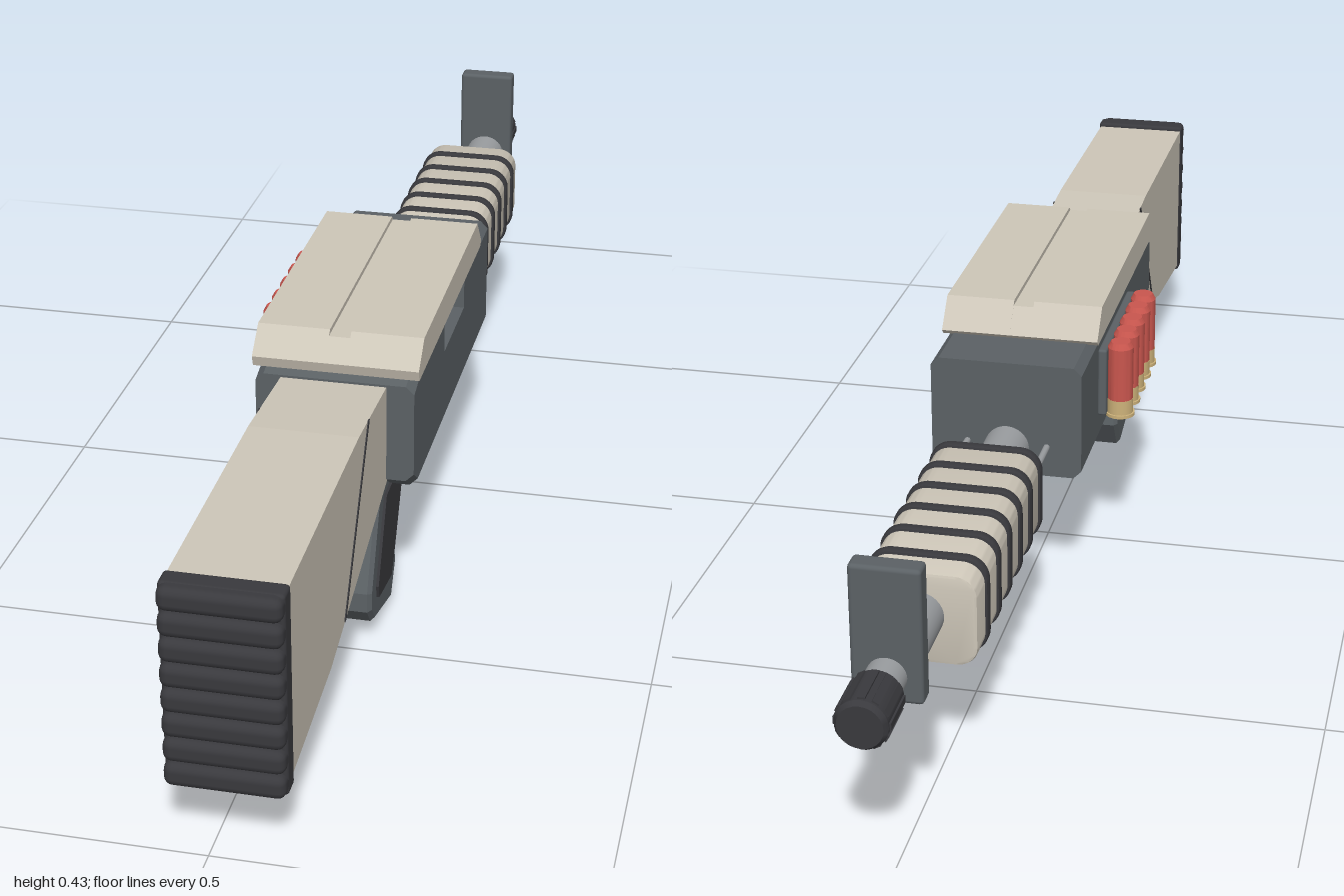
import * as THREE from 'three';
import { toCreasedNormals } from 'three/addons/utils/BufferGeometryUtils.js';
import { RoundedBoxGeometry } from 'three/addons/geometries/RoundedBoxGeometry.js';

const mat = (name, color) => {
  const m = new THREE.MeshStandardMaterial({ color });
  m.name = name;
  return m;
};

export function createModel() {
  const root = new THREE.Group();
  root.name = 'pumpGun';
  const cream = mat('cream', 0xcdc6b8);
  const slate = mat('slate', 0x5b6165);
  const black = mat('black', 0x39393d);
  const steel = mat('steel', 0x999c9f);
  const red = mat('red', 0xc9564e);
  const brass = mat('brass', 0xcdb27a);
  const CX = 0.022; // centre line of the gun

  const add = (name, geo, material, x = 0, y = 0, z = 0, parent = root) => {
    const mesh = new THREE.Mesh(geo, material);
    mesh.name = name;
    mesh.position.set(x, y, z);
    parent.add(mesh);
    return mesh;
  };
  // Side profile of [z, y] points, extruded across x from x0 to x1
  const prism = (pts, x0, x1, bevel = 0) => {
    const shape = new THREE.Shape(pts.map(([z, y]) => new THREE.Vector2(-z, y)));
    const geo = new THREE.ExtrudeGeometry(shape, {
      depth: x1 - x0 - 2 * bevel, bevelEnabled: bevel > 0, bevelSize: bevel,
      bevelThickness: bevel, bevelOffset: -bevel, bevelSegments: 1,
    });
    return geo.rotateY(Math.PI / 2).translate(x0 + bevel, 0, 0);
  };
  // Cross-section of [x, y] points, extruded along z from z0 to z1
  const bar = (pts, z0, z1) => new THREE.ExtrudeGeometry(
    new THREE.Shape(pts.map(([x, y]) => new THREE.Vector2(x, y))),
    { depth: z1 - z0, bevelEnabled: false }).translate(0, 0, z0);
  // Round rod along z
  const rod = (r, z0, z1, sides = 32) =>
    new THREE.CylinderGeometry(r, r, z1 - z0, sides).rotateX(Math.PI / 2).translate(0, 0, (z0 + z1) / 2);
  // Rounded rectangle block, centred on x and y, running along z
  const roundBar = (w, h, r, z0, z1, bevel) => {
    const a = w / 2 - r, b = h / 2 - r, s = new THREE.Shape();
    s.absarc(a, b, r, 0, Math.PI / 2);
    s.absarc(-a, b, r, Math.PI / 2, Math.PI);
    s.absarc(-a, -b, r, Math.PI, Math.PI * 1.5);
    s.absarc(a, -b, r, Math.PI * 1.5, Math.PI * 2);
    const geo = new THREE.ExtrudeGeometry(s, {
      depth: z1 - z0 - 2 * bevel, bevelThickness: bevel, bevelSize: bevel,
      bevelOffset: -bevel, bevelSegments: 2, curveSegments: 6,
    }).translate(0, 0, z0 + bevel);
    return toCreasedNormals(geo, 0.6);
  };

  // Stock with a diagonal seam on each side
  add('stock', prism([[0.96, 0.105], [0.96, 0.38], [0.57, 0.384], [0.385, 0.372],
    [0.385, 0.222], [0.74, 0.128]], -0.055, 0.098), cream);
  const seam = [[0.51, 0.381], [0.517, 0.381], [0.664, 0.152], [0.657, 0.152]];
  add('stockSeamRight', prism(seam, -0.0565, -0.0545), black);
  add('stockSeamLeft', prism(seam, 0.0975, 0.0995), black);

  // Ribbed butt pad
  const pad = new THREE.Group();
  pad.name = 'buttPad';
  root.add(pad);
  add('padPlate', new RoundedBoxGeometry(0.159, 0.29, 0.032, 2, 0.006), black, CX, 0.242, 0.969, pad);
  for (let i = 0; i < 8; i++) {
    add('padRib', new RoundedBoxGeometry(0.158, 0.034, 0.034, 2, 0.012), black,
      CX, 0.115 + i * 0.0363, 0.983, pad);
  }
  // Sling stud under the stock
  add('slingStudPost', new THREE.CylinderGeometry(0.006, 0.006, 0.04, 12), steel, CX, 0.105, 0.86);
  add('slingStud', new THREE.CylinderGeometry(0.016, 0.016, 0.024, 20).rotateZ(Math.PI / 2), steel, CX, 0.078, 0.86);

  // Receiver in three lengths, the middle one notched for the ejection port
  const L = -0.092, R = 0.138, B = 0.204, T = 0.384, c = 0.012;
  const lower = [[L, T - c], [L, B + c], [L + c, B], [R - c, B], [R, B + c]];
  const full = [[L + c, T], ...lower, [R, T - c], [R - c, T]];
  const notched = [[L + c, T], ...lower, [R, 0.325], [0.1, 0.325], [0.1, 0.378], [R, 0.378], [R - c, T]];
  add('receiverFront', bar(full, -0.198, 0.01), slate);
  add('receiverMiddle', bar(notched, 0.01, 0.17), slate);
  add('receiverRear', bar(full, 0.17, 0.366), slate);
  const heel = bar(full, 0.366, 0.396);
  const hp = heel.attributes.position;
  for (let i = 0; i < hp.count; i++) {
    if (hp.getZ(i) > 0.39) hp.setY(i, hp.getY(i) + (hp.getY(i) < 0.3 ? 0.022 : -0.008));
  }
  heel.computeVertexNormals();
  add('receiverHeel', heel, slate);
  add('loadingGate', new THREE.BoxGeometry(0.1, 0.006, 0.17), black, CX, 0.204, -0.05);

  // Top cover with a shallow centre groove
  const cover = (top) => [[0.385, 0.382], [0.39, 0.398], [0.39 - (top - 0.398) * 1.1, top],
    [-0.105 + (top - 0.39) * 0.8, top], [-0.108, 0.39], [-0.1, 0.382]];
  add('coverRight', prism(cover(0.433), -0.098, 0.007), cream);
  add('coverGroove', prism(cover(0.426), 0.007, 0.038), cream);
  add('coverLeft', prism(cover(0.433), 0.038, 0.143), cream);

  // Grip with dark side panels
  add('grip', prism([[0.43, 0.23], [0.492, 0.09], [0.492, 0.06], [0.472, 0.034], [0.353, 0.002],
    [0.322, 0.05], [0.327, 0.09], [0.262, 0.215], [0.3, 0.23]], -0.053, 0.097, 0.006), slate);
  const panel = [[0.405, 0.205], [0.46, 0.085], [0.455, 0.065], [0.37, 0.052], [0.345, 0.09],
    [0.29, 0.19], [0.3, 0.207]];
  add('gripPanelRight', prism(panel, -0.057, -0.052), black);
  add('gripPanelLeft', prism(panel, 0.096, 0.101), black);

  // Safety button, trigger and guard
  add('safetyButton', new THREE.CylinderGeometry(0.011, 0.011, 0.184, 20).rotateZ(Math.PI / 2), red, CX, 0.182, 0.29);
  add('trigger', prism([[0.253, 0.21], [0.253, 0.15], [0.242, 0.118], [0.222, 0.1], [0.228, 0.122],
    [0.236, 0.15], [0.236, 0.21]], 0.009, 0.035), steel);
  add('triggerGuard', prism([[0.3, 0.15], [0.29, 0.072], [0.1, 0.072], [0.08, 0.088], [0.074, 0.17],
    [0.086, 0.17], [0.091, 0.094], [0.104, 0.083], [0.279, 0.083], [0.288, 0.15]], -0.005, 0.049), steel);

  // Barrel, action rods and pump handle
  const BY = 0.247;
  add('barrel', rod(0.034, -0.86, -0.19), steel, CX, BY);
  add('barrelNeck', rod(0.027, -0.93, -0.85), steel, CX, BY);
  for (const s of [-1, 1]) add('actionRod', rod(0.005, -0.33, -0.19, 10), steel, CX + s * 0.061, BY + 0.005);
  add('pumpHandle', roundBar(0.158, 0.134, 0.03, -0.718, -0.318, 0.004), cream, CX, 0.242);
  for (let i = 0; i < 6; i++) {
    const z = -0.335 - i * 0.0663;
    add('pumpBand', roundBar(0.166, 0.142, 0.033, z - 0.009, z + 0.009, 0.004), black, CX, 0.242);
  }

  // Front sight and fluted muzzle
  add('frontSight', new RoundedBoxGeometry(0.095, 0.192, 0.032, 2, 0.006), slate, CX, 0.305, -0.862);
  const muzzle = new THREE.Group();
  muzzle.name = 'muzzle';
  muzzle.position.set(CX, BY, 0);
  root.add(muzzle);
  const tip = [[0, -0.043], [0.03, -0.043], [0.035, -0.036], [0.035, 0.036], [0.03, 0.043], [0, 0.043]];
  const lathe = new THREE.LatheGeometry(tip.map(([r, y]) => new THREE.Vector2(r, y)), 24).rotateX(Math.PI / 2);
  add('muzzleCore', toCreasedNormals(lathe, 0.5), black, 0, 0, -0.957, muzzle);
  for (let i = 0; i < 12; i++) {
    const a = (i / 12) * Math.PI * 2;
    const rib = add('muzzleRib', new THREE.BoxGeometry(0.006, 0.01, 0.066), black,
      Math.cos(a) * 0.034, Math.sin(a) * 0.034, -0.957, muzzle);
    rib.rotation.z = a;
  }

  // Spare shells on a side carrier
  add('shellCarrier', new RoundedBoxGeometry(0.014, 0.11, 0.25, 2, 0.004), slate, -0.098, 0.305, 0.058);
  const hull = [[0.02, 0.274], [0.02, 0.36], [0.015, 0.369], [0, 0.369]];
  const hullGeo = toCreasedNormals(new THREE.LatheGeometry(hull.map(([r, y]) => new THREE.Vector2(r, y)), 20), 0.5);
  for (let i = 0; i < 5; i++) {
    const shell = new THREE.Group();
    shell.name = 'shell';
    shell.position.set(-0.123, 0, -0.045 + i * 0.05);
    root.add(shell);
    add('shellHull', hullGeo, red, 0, 0, 0, shell);
    add('shellBase', new THREE.CylinderGeometry(0.0203, 0.0203, 0.026, 20), brass, 0, 0.262, 0, shell);
    add('shellRim', new THREE.CylinderGeometry(0.023, 0.023, 0.005, 20), brass, 0, 0.2495, 0, shell);
  }
  return root;
}
